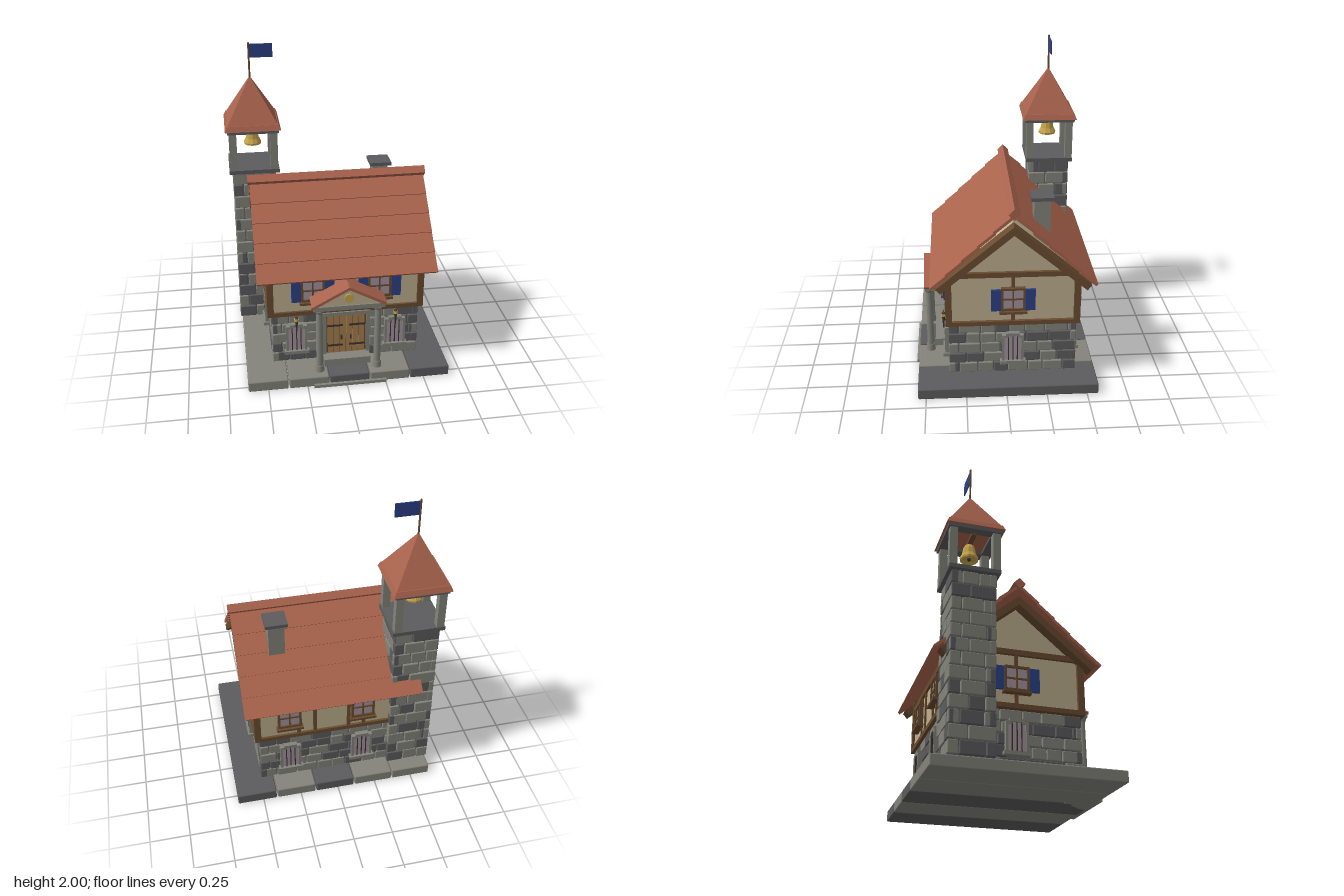
import * as THREE from 'three';
import { mergeGeometries } from 'three/addons/utils/BufferGeometryUtils.js';
import { RoundedBoxGeometry } from 'three/addons/geometries/RoundedBoxGeometry.js';

const mat = (name, color) => {
  const m = new THREE.MeshStandardMaterial({ color });
  m.name = name;
  return m;
};

export function createModel() {
  const C = {
    roof: mat('clay tile', 0xa9634d), plaster: mat('plaster', 0xbfb08f), timber: mat('timber', 0x6a4c30),
    light: mat('light stone', 0x84847c), dark: mat('dark stone', 0x5c5c5e), blue: mat('blue paint', 0x2c4188),
    gold: mat('brass', 0xc8a64c), wood: mat('door wood', 0xa67f4e), glass: mat('leaded glass', 0xa4949f),
    iron: mat('iron', 0x3a342e),
  };
  const model = new THREE.Group();
  model.name = 'townHall';

  const group = (parent, name, x = 0, y = 0, z = 0, ry = 0) => {
    const g = new THREE.Group();
    g.name = name;
    g.position.set(x, y, z);
    g.rotation.y = ry;
    parent.add(g);
    return g;
  };
  const add = (parent, name, geo, m, x = 0, y = 0, z = 0) => {
    const mesh = new THREE.Mesh(geo, m);
    mesh.name = name;
    mesh.position.set(x, y, z);
    parent.add(mesh);
    return mesh;
  };
  const box = (p, name, m, w, h, d, x, y, z) => add(p, name, new THREE.BoxGeometry(w, h, d), m, x, y, z);
  const flat = (geo) => {
    const g = geo.index ? geo.toNonIndexed() : geo;
    g.computeVertexNormals();
    return g;
  };
  // square frustum with half widths at top and bottom
  const frustum = (top, bottom, h) =>
    flat(new THREE.CylinderGeometry(top * Math.SQRT2, bottom * Math.SQRT2, h, 4).rotateY(Math.PI / 4));
  let seed = 7;
  const rand = () => (seed = (seed * 16807) % 2147483647) / 2147483647;

  // courses of rounded stones around a rectangular core
  function masonry(parent, name, hx, hz, y0, y1, rows, size, depth) {
    const sets = { light: [], dark: [] };
    const h = (y1 - y0) / rows;
    for (let side = 0; side < 4; side++) {
      const half = side % 2 ? hz : hx, out = side % 2 ? hx : hz;
      for (let r = 0; r < rows; r++) {
        let u = -half;
        const first = (r + side) % 2 ? size * 0.55 : size * 0.95;
        while (u < half - 0.002) {
          let w = u === -half ? first : size * (0.75 + 0.5 * rand());
          if (half - u - w < size * 0.45) w = half - u;
          const d = depth + rand() * 0.012;
          const g = new RoundedBoxGeometry(w - 0.006, h - 0.006, d, 1, 0.006);
          g.translate(u + w / 2, y0 + (r + 0.5) * h, out - depth / 2 - 0.006).rotateY(side * Math.PI / 2);
          sets[rand() < 0.68 ? 'light' : 'dark'].push(g);
          u += w;
        }
      }
    }
    box(parent, name + 'Core', C.dark, 2 * hx - 0.04, y1 - y0, 2 * hz - 0.04, 0, (y0 + y1) / 2, 0);
    for (const k of ['light', 'dark']) add(parent, name + k + 'Stones', mergeGeometries(sets[k]), C[k]);
  }

  // paved base and steps
  for (let i = 0; i < 5; i++)
    add(model, 'baseSlab', new RoundedBoxGeometry(0.253, 0.07, 1.12, 1, 0.008),
      i === 2 || i === 4 ? C.dark : C.light, -0.5 + i * 0.26, 0.035, -0.01);
  box(model, 'lowerStep', C.light, 0.465, 0.02, 0.2, 0.022, 0.01, 0.468);

  // house body
  const house = group(model, 'house', 0.02, 0, -0.045);
  masonry(house, 'groundFloor', 0.475, 0.4, 0.07, 0.425, 5, 0.115, 0.03);
  const gable = new THREE.Shape([[-0.4, 0.43], [0.4, 0.43], [0.4, 0.735], [0, 1.075], [-0.4, 0.735]]
    .map(([a, b]) => new THREE.Vector2(a, b)));
  add(house, 'plasterWalls', new THREE.ExtrudeGeometry(gable, { depth: 0.96, bevelEnabled: false })
    .translate(0, 0, -0.48).rotateY(Math.PI / 2), C.plaster);

  // timber frame
  const frame = group(house, 'timberFrame');
  for (const s of [-1, 1]) {
    for (const t of [-1, 1]) box(frame, 'cornerPost', C.timber, 0.04, 0.32, 0.04, s * 0.48, 0.59, t * 0.395);
    box(frame, 'sillBeam', C.timber, 1.0, 0.028, 0.04, 0, 0.438, s * 0.395);
    box(frame, 'wallPlate', C.timber, 1.0, 0.035, 0.04, 0, 0.72, s * 0.395);
    for (const x of [-0.21, -0.11, 0.11, 0.215])
      box(frame, 'wallStud', C.timber, 0.022, 0.28, 0.02, x, 0.575, s * 0.4);
    box(frame, 'sideSillBeam', C.timber, 0.04, 0.028, 0.83, s * 0.48, 0.438, 0);
    box(frame, 'gableTie', C.timber, 0.04, 0.033, 0.83, s * 0.48, 0.772, 0);
    box(frame, 'sideStud', C.timber, 0.02, 0.33, 0.022, s * 0.48, 0.6, 0);
  }

  // roof: overlapping boards and barge rafters on both slopes, with a diamond ridge
  const roof = group(house, 'roof');
  for (const turn of [0, Math.PI]) {
    const slope = group(roof, 'roofSlope', 0, 0, 0, turn);
    const a = 0.7, L = 0.135;
    for (let i = 0; i < 5; i++) {
      const b = box(slope, 'roofBoard', C.roof, 1.125, 0.018, L, 0,
        0.72 + i * 0.09 + Math.sin(a) * L / 2, 0.5 - i * 0.095 - Math.cos(a) * L / 2);
      b.rotation.x = a;
    }
    for (const s of [-1, 1]) {
      const r = box(slope, 'bargeRafter', C.timber, 0.075, 0.042, 0.612, s * 0.522, 0.899, 0.222);
      r.rotation.x = a;
    }
  }
  box(roof, 'ridge', C.roof, 1.145, 0.051, 0.051, 0, 1.195, 0).rotation.x = Math.PI / 4;

  // chimney
  box(model, 'chimney', C.light, 0.1, 0.4, 0.1, 0.33, 1.0, -0.228);
  box(model, 'chimneyCap', C.dark, 0.14, 0.022, 0.14, 0.33, 1.205, -0.228);

  // timber casement, optionally with shutters
  function casement(x, z, ry, shutters) {
    const w = group(house, 'upperWindow', x, 0.605, z, ry);
    box(w, 'glass', C.glass, 0.13, 0.13, 0.012, 0, 0, 0.01);
    for (const s of [-1, 1]) {
      box(w, 'jamb', C.timber, 0.014, 0.155, 0.03, s * 0.068, 0, 0.012);
      box(w, 'rail', C.timber, 0.15, 0.014, 0.03, 0, s * 0.07, 0.012);
      if (shutters) box(w, 'shutter', C.blue, 0.06, 0.145, 0.014, s * 0.106, -0.003, 0.02);
    }
    box(w, 'mullion', C.timber, 0.01, 0.13, 0.01, 0, 0, 0.018);
    box(w, 'transom', C.timber, 0.13, 0.01, 0.01, 0, 0, 0.018);
    box(w, 'sill', C.timber, 0.17, 0.016, 0.045, 0, -0.085, 0.02);
  }
  // barred window with a stone surround and clipped head
  function barred(x, z, ry) {
    const w = group(house, 'lowerWindow', x, 0.255, z, ry);
    box(w, 'glass', C.glass, 0.11, 0.18, 0.014, 0, 0, 0.008);
    for (const s of [-1, 1]) {
      box(w, 'jamb', C.light, 0.016, 0.175, 0.032, s * 0.06, -0.005, 0.008);
      box(w, 'headCorner', C.light, 0.04, 0.016, 0.03, s * 0.048, 0.084, 0.008);
    }
    box(w, 'head', C.light, 0.085, 0.02, 0.032, 0, 0.097, 0.008);
    box(w, 'sill', C.light, 0.16, 0.022, 0.05, 0, -0.098, 0.01);
    for (const b of [-0.028, 0, 0.028]) box(w, 'bar', C.iron, 0.006, 0.18, 0.006, b, 0, 0.018);
  }
  const q = Math.PI / 2;
  for (const s of [-1, 1]) {
    casement(s * 0.212, 0.4, 0, true);
    barred(s * 0.32, 0.4, 0);
    casement(s * 0.48, 0, s * q, true);
    barred(s * 0.475, 0, s * q);
  }
  for (const x of [0.275, -0.2]) {
    casement(x, -0.4, Math.PI, false);
    barred(x, -0.4, Math.PI);
  }

  // wall torches
  for (const s of [-1, 1]) {
    const t = group(house, 'wallTorch', s * 0.32, 0, 0.43);
    add(t, 'handle', flat(new THREE.CylinderGeometry(0.012, 0.003, 0.11, 6)), C.iron, 0, 0.365, 0);
    add(t, 'collar', flat(new THREE.CylinderGeometry(0.016, 0.016, 0.016, 6)), C.gold, 0, 0.405, 0);
    add(t, 'tip', flat(new THREE.ConeGeometry(0.01, 0.035, 6)), C.timber, 0, 0.43, 0);
    box(t, 'bracket', C.iron, 0.008, 0.01, 0.04, 0, 0.37, -0.02);
  }

  // double door
  const door = group(house, 'door', 0, 0, 0.4);
  box(door, 'threshold', C.light, 0.3, 0.05, 0.1, 0, 0.095, 0.04);
  box(door, 'doorBack', C.timber, 0.27, 0.31, 0.02, 0, 0.265, 0);
  for (let i = 0; i < 6; i++) box(door, 'plank', C.wood, 0.037, 0.285, 0.02, -0.1 + i * 0.04, 0.262, 0.006);
  for (const s of [-1, 1]) {
    box(door, 'doorJamb', C.light, 0.025, 0.3, 0.04, s * 0.142, 0.265, 0.005);
    for (const y of [0.18, 0.33]) box(door, 'strap', C.iron, 0.1, 0.012, 0.006, s * 0.07, y, 0.019);
    box(door, 'handle', C.iron, 0.01, 0.03, 0.014, s * 0.03, 0.24, 0.02);
  }
  box(door, 'lintel', C.light, 0.31, 0.025, 0.04, 0, 0.418, 0.005);

  // portico
  const porch = group(house, 'portico');
  for (const s of [-1, 1]) {
    const x = s * 0.185, z = 0.52;
    add(porch, 'columnShaft', new THREE.CylinderGeometry(0.02, 0.023, 0.43, 12), C.light, x, 0.3, z);
    add(porch, 'columnBase', new THREE.CylinderGeometry(0.026, 0.03, 0.045, 12), C.light, x, 0.092, z);
    add(porch, 'capital', new THREE.CylinderGeometry(0.031, 0.022, 0.025, 12), C.light, x, 0.513, z);
    const r = box(porch, 'porchRoofSlab', C.roof, 0.265, 0.018, 0.155, s * 0.115, 0.614, 0.472);
    r.rotation.z = -s * 0.5;
  }
  box(porch, 'entablature', C.light, 0.45, 0.03, 0.15, 0, 0.54, 0.47);
  const ped = new THREE.Shape([[-0.2, 0.555], [0.2, 0.555], [0, 0.664]].map(([a, b]) => new THREE.Vector2(a, b)));
  add(porch, 'pediment', new THREE.ExtrudeGeometry(ped, { depth: 0.135, bevelEnabled: false }), C.plaster, 0, 0, 0.4);
  add(porch, 'medallion', new THREE.CylinderGeometry(0.03, 0.03, 0.012, 16).rotateX(q), C.gold, 0, 0.605, 0.538);

  // bell tower
  const tower = group(model, 'bellTower', -0.497, 0, -0.347);
  masonry(tower, 'shaft', 0.143, 0.136, 0.07, 1.175, 13, 0.12, 0.03);
  box(tower, 'platform', C.dark, 0.325, 0.025, 0.31, 0, 1.187, 0);
  for (const x of [-1, 1]) {
    for (const z of [-1, 1])
      box(tower, 'belfryPost', C.light, 0.047, 0.255, 0.047, x * 0.131, 1.325, z * 0.131);
    box(tower, 'topBeam', C.dark, 0.33, 0.022, 0.06, 0, 1.462, x * 0.135);
    box(tower, 'topSideBeam', C.dark, 0.06, 0.022, 0.21, x * 0.135, 1.462, 0);
  }
  box(tower, 'bellBeam', C.timber, 0.24, 0.02, 0.03, 0, 1.447, 0);
  add(tower, 'spireEave', frustum(0.164, 0.178, 0.035), C.roof, 0, 1.489, 0);
  add(tower, 'spire', frustum(0.003, 0.16, 0.276), C.roof, 0, 1.643, 0);

  // bell
  const bell = [[0, 1.345], [0.04, 1.345], [0.056, 1.33], [0.058, 1.342], [0.044, 1.37], [0.037, 1.41], [0.026, 1.432], [0, 1.438]];
  add(tower, 'bell', flat(new THREE.LatheGeometry(bell.map(([r, y]) => new THREE.Vector2(r, y)), 10)), C.gold);
  add(tower, 'clapper', new THREE.SphereGeometry(0.012, 8, 6), C.iron, 0, 1.338, 0);

  // flag
  add(tower, 'flagPole', new THREE.CylinderGeometry(0.006, 0.006, 0.24, 8), C.timber, 0, 1.88, 0);
  box(tower, 'flag', C.blue, 0.145, 0.087, 0.006, 0.077, 1.947, 0);
  return model;
}
